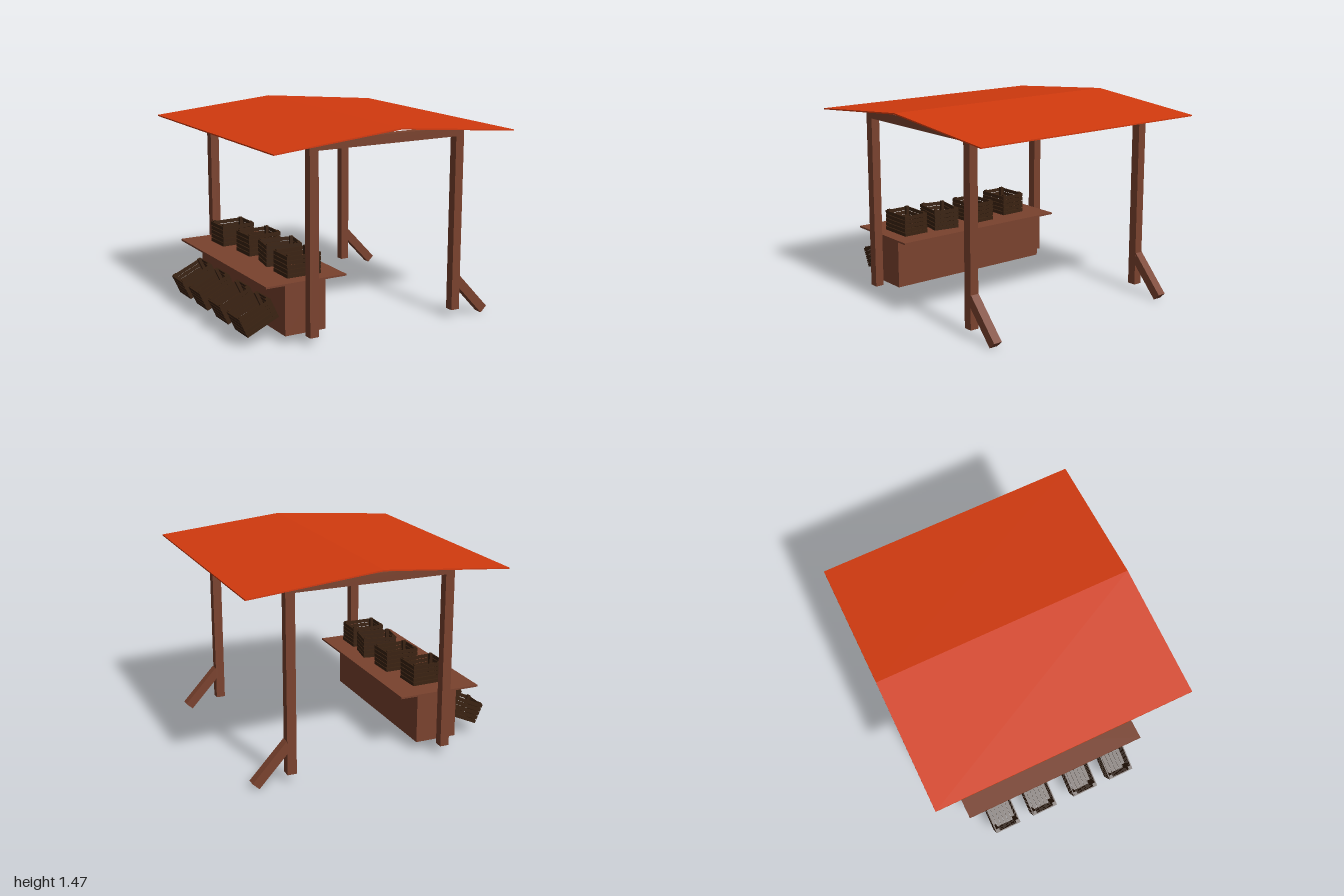
import * as THREE from 'three';

const mat = (color) => new THREE.MeshStandardMaterial({ color, flatShading: true });

export function createModel() {
  const wood = mat(0x7a422e), crateWood = mat(0x3a2211), roofRed = mat(0xd23a0e), black = mat(0x101214);
  const model = new THREE.Group();
  model.name = 'marketStall';

  const add = (parent, name, geometry, material, x = 0, y = 0, z = 0) => {
    const mesh = new THREE.Mesh(geometry, material);
    mesh.name = name;
    mesh.position.set(x, y, z);
    parent.add(mesh);
    return mesh;
  };
  // Box given by its extents on each axis
  const span = (parent, name, [x0, x1], [y0, y1], [z0, z1], material) =>
    add(parent, name, new THREE.BoxGeometry(x1 - x0, y1 - y0, z1 - z0), material,
      (x0 + x1) / 2, (y0 + y1) / 2, (z0 + z1) / 2);

  // Shallow gabled roof sheet
  const profile = new THREE.Shape([
    [-0.91, 1.38], [0.045, 1.466], [1, 1.38], [1, 1.389], [0.045, 1.476], [-0.91, 1.389],
  ].map(([x, y]) => new THREE.Vector2(x, y)));
  add(model, 'roof', new THREE.ExtrudeGeometry(profile, { depth: 1.91, bevelEnabled: false }),
    roofRed, 0, 0, -0.955);

  // Posts, cross beams and slanted braces at both ends
  const leftPost = [-0.565, -0.498], rightPost = [0.613, 0.68];
  const ends = [[0.735, 0.8], [-0.815, -0.75]];
  for (const z of ends) {
    span(model, 'counterPost', leftPost, [0.07, 1.415], z, wood);
    span(model, 'bracedPost', rightPost, [0.07, 1.35], z, wood);
    span(model, 'crossBeam', [leftPost[1], rightPost[1]], [1.35, 1.415], z, wood);
    const brace = add(model, 'brace', new THREE.BoxGeometry(0.364, 0.066, 0.064), wood,
      0.784, 0.163, (z[0] + z[1]) / 2);
    brace.rotation.z = -0.823;
  }
  span(model, 'sideBeam', rightPost, [1.35, 1.415], [ends[1][1], ends[0][0]], wood);

  // Counter
  span(model, 'counterBody', [-0.69, -0.375], [0.07, 0.441], [-0.68, 0.677], wood);
  span(model, 'counterTop', [-0.85, -0.23], [0.44, 0.453], [-0.713, 0.713], wood);

  // Slatted crate with its origin at the centre of its base
  const L = 0.262, W = 0.2, H = 0.153, T = 0.008;
  const makeCrate = (x, y, z, turn, tilt) => {
    const crate = new THREE.Group();
    crate.name = 'crate';
    for (let i = 0; i < 5; i++) {
      const sy = 0.0135 + i * 0.0315;
      for (const s of [-1, 1]) {
        add(crate, 'longSlat', new THREE.BoxGeometry(L, 0.026, T), crateWood, 0, sy, s * (W - T) / 2);
        add(crate, 'endSlat', new THREE.BoxGeometry(T, 0.026, W - 2 * T), crateWood, s * (L - T) / 2, sy, 0);
      }
    }
    for (const sx of [-1, 1]) for (const sz of [-1, 1])
      add(crate, 'cornerPost', new THREE.BoxGeometry(0.024, H + 0.006, 0.024), crateWood,
        sx * (L / 2 - T - 0.012), (H + 0.01) / 2, sz * (W / 2 - T - 0.012));
    for (let i = 0; i < 6; i++)
      add(crate, 'floorSlat', new THREE.BoxGeometry(L - 2 * T, T, 0.028), crateWood, 0, T / 2, (i - 2.5) * 0.031);
    crate.position.set(x, y, z);
    crate.rotation.set(0, turn, tilt);
    model.add(crate);
  };

  // Crates on the counter: x, z, turn
  for (const [x, z, turn] of [[-0.505, 0.512, 0], [-0.485, 0.222, -0.17], [-0.49, -0.105, 0.03], [-0.537, -0.448, 0.03]])
    makeCrate(x, 0.453, z, turn, 0);
  // Crates leaning against the outer side of the counter
  for (const z of [0.497, 0.19, -0.155, -0.465]) makeCrate(-0.813, 0.133, z, 0, 0.43);

  // Hanging lamp
  const lamp = new THREE.Group();
  lamp.name = 'lamp';
  lamp.position.set(-0.017, 0, 0.004);
  add(lamp, 'ceilingCone', new THREE.ConeGeometry(0.05, 0.045, 16), black, 0, 1.44, 0);
  add(lamp, 'lampCone', new THREE.ConeGeometry(0.05, 0.05, 16), black, 0, 1.25, 0).rotation.x = Math.PI;
  for (const [x, z] of [[0.017, 0.016], [0.032, -0.034]])
    add(lamp, 'wire', new THREE.CylinderGeometry(0.0015, 0.0015, 0.15, 6), black, x, 1.347, z);
  model.add(lamp);

  return model;
}
